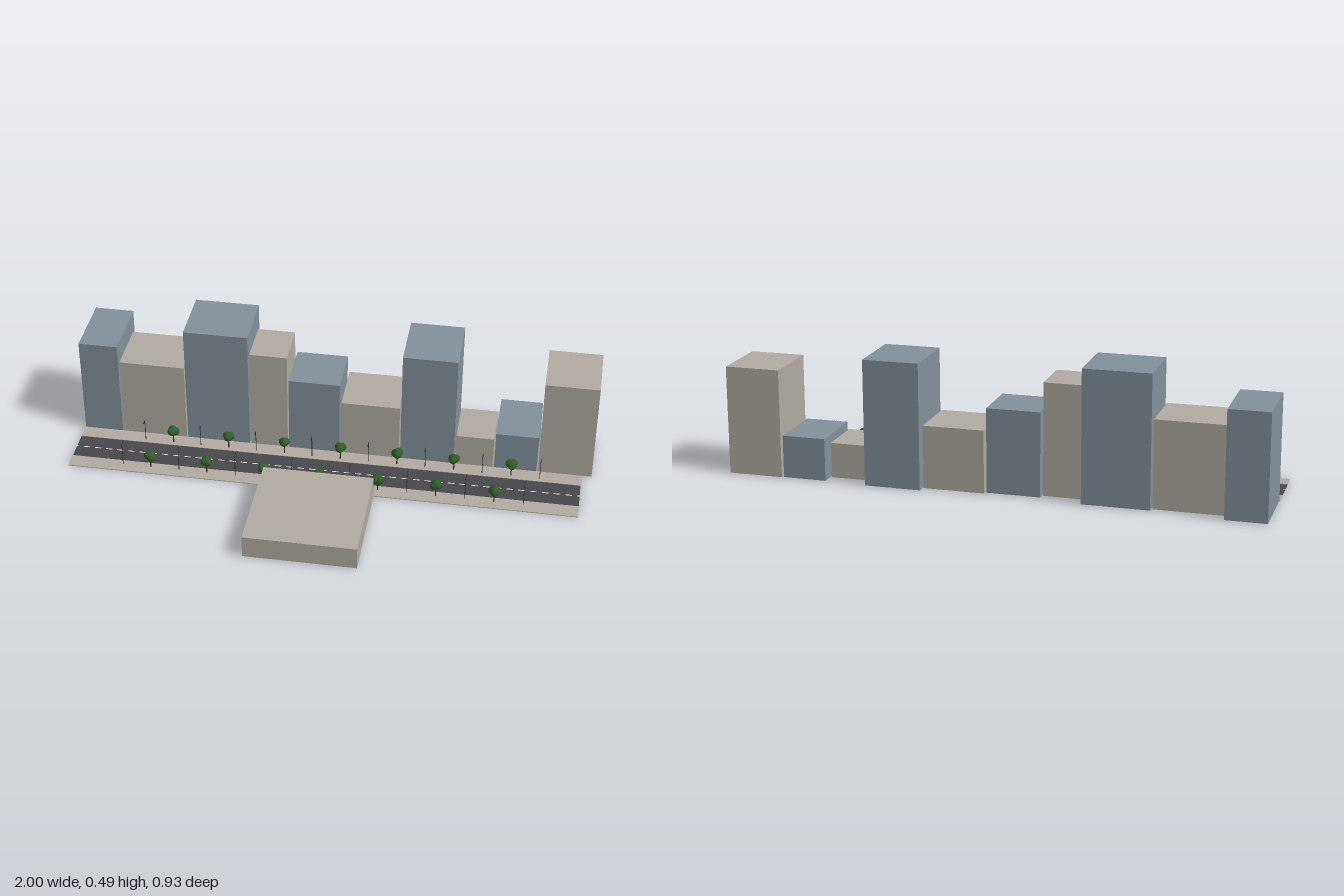
import * as THREE from 'three';

const paint = (name, color, flatShading = false) => {
  const m = new THREE.MeshStandardMaterial({ color, flatShading });
  m.name = name;
  return m;
};

export function createModel() {
  const group = new THREE.Group();
  group.name = 'cityStreet';

  const stone = paint('warm stone', 0xb0aaa1);
  const slate = paint('slate blue', 0x84909a);
  const asphalt = paint('asphalt', 0x48474d);
  const white = paint('road marking', 0xdcdcd8);
  const leaf = paint('foliage', 0x335c2c, true);
  const bark = paint('bark', 0x3d2f24);
  const metal = paint('lamp metal', 0x2b2f36);

  let seed = 7;
  const rand = () => (seed = (seed * 16807) % 2147483647) / 2147483647;

  // Box given by its limits on each axis
  const box = (name, mat, [x0, x1], [y0, y1], [z0, z1], parent = group) => {
    const mesh = new THREE.Mesh(new THREE.BoxGeometry(x1 - x0, y1 - y0, z1 - z0), mat);
    mesh.position.set((x0 + x1) / 2, (y0 + y1) / 2, (z0 + z1) / 2);
    mesh.name = name;
    parent.add(mesh);
    return mesh;
  };

  // Street: road with a raised pavement along each side
  const length = [-0.982, 0.962];
  box('road', asphalt, length, [0, 0.001], [-0.147, -0.02]);
  box('backPavement', stone, length, [0, 0.003], [-0.21, -0.147]);
  box('frontPavement', stone, length, [0, 0.003], [-0.02, 0.043]);

  // Dashed centre line
  const dashes = new THREE.Group();
  dashes.name = 'centreLine';
  group.add(dashes);
  for (let i = 0; i < 45; i++) {
    const x = -1 + i * 0.0444;
    box('dash', white, [x, x + 0.025], [0.001, 0.0017], [-0.0855, -0.081], dashes);
  }

  // Row of buildings: left edge, right edge, height, back
  [
    [-0.98, -0.83, 0.395, -0.467],
    [-0.824, -0.573, 0.326, -0.424],
    [-0.568, -0.322, 0.491, -0.44],
    [-0.316, -0.172, 0.417, -0.387],
    [-0.167, 0.03, 0.314, -0.408],
    [0.036, 0.261, 0.235, -0.42],
    [0.266, 0.473, 0.468, -0.449],
    [0.479, 0.623, 0.133, -0.392],
    [0.629, 0.79, 0.16, -0.439],
    [0.797, 1.0, 0.404, -0.443],
  ].forEach(([x0, x1, h, back], i) =>
    box('building' + (i + 1), i % 2 ? stone : slate, [x0, x1], [0.003, h], [back, -0.208]));

  // Low hall across the street, with a slate underside
  box('lowHall', [stone, stone, stone, slate, stone, stone],
    [-0.219, 0.199], [0.003, 0.09], [0.046, 0.464]);

  // Street trees: slim trunk and a lumpy crown
  const trunkGeo = new THREE.CylinderGeometry(0.0018, 0.0026, 0.045, 6);
  const lumpGeo = new THREE.IcosahedronGeometry(1, 1);
  const addTree = (x, z) => {
    const tree = new THREE.Group();
    tree.name = 'tree';
    tree.position.set(x, 0.003, z);
    const trunk = new THREE.Mesh(trunkGeo, bark);
    trunk.name = 'trunk';
    trunk.position.y = 0.0225;
    tree.add(trunk);
    const turn = rand() * Math.PI * 2;
    for (let i = 0; i < 4; i++) {
      const lump = new THREE.Mesh(lumpGeo, leaf);
      const a = turn + (i * Math.PI * 2) / 3;
      const d = i < 3 ? 0.008 : 0;
      const r = 0.0145 + rand() * 0.003;
      lump.name = 'crown';
      lump.position.set(Math.cos(a) * d, i < 3 ? 0.049 + rand() * 0.005 : 0.055, Math.sin(a) * d);
      lump.scale.set(r, r, r);
      lump.rotation.y = rand() * 3;
      tree.add(lump);
    }
    group.add(tree);
  };

  // Street lamps: post, arm over the road and lamp head
  const postGeo = new THREE.CylinderGeometry(0.001, 0.0014, 0.092, 6);
  const addLamp = (x, z, side) => {
    const lamp = new THREE.Group();
    lamp.name = 'streetLamp';
    lamp.position.set(x, 0.003, z);
    lamp.rotation.y = side > 0 ? 0 : Math.PI;
    const post = new THREE.Mesh(postGeo, metal);
    post.name = 'post';
    post.position.y = 0.046;
    lamp.add(post);
    box('arm', metal, [-0.0008, 0.0008], [0.0905, 0.092], [0, 0.021], lamp);
    box('lampHead', metal, [-0.0016, 0.0016], [0.0888, 0.0908], [0.015, 0.022], lamp);
    group.add(lamp);
  };

  for (let i = 0; i < 8; i++) {
    const step = i * 0.219;
    addLamp(-0.727 + step, -0.165, 1);
    addLamp(-0.776 + step, 0.002, -1);
    if (i < 7) {
      addTree(-0.617 + step, -0.168);
      addTree(-0.667 + step, 0.003);
    }
  }

  return group;
}
